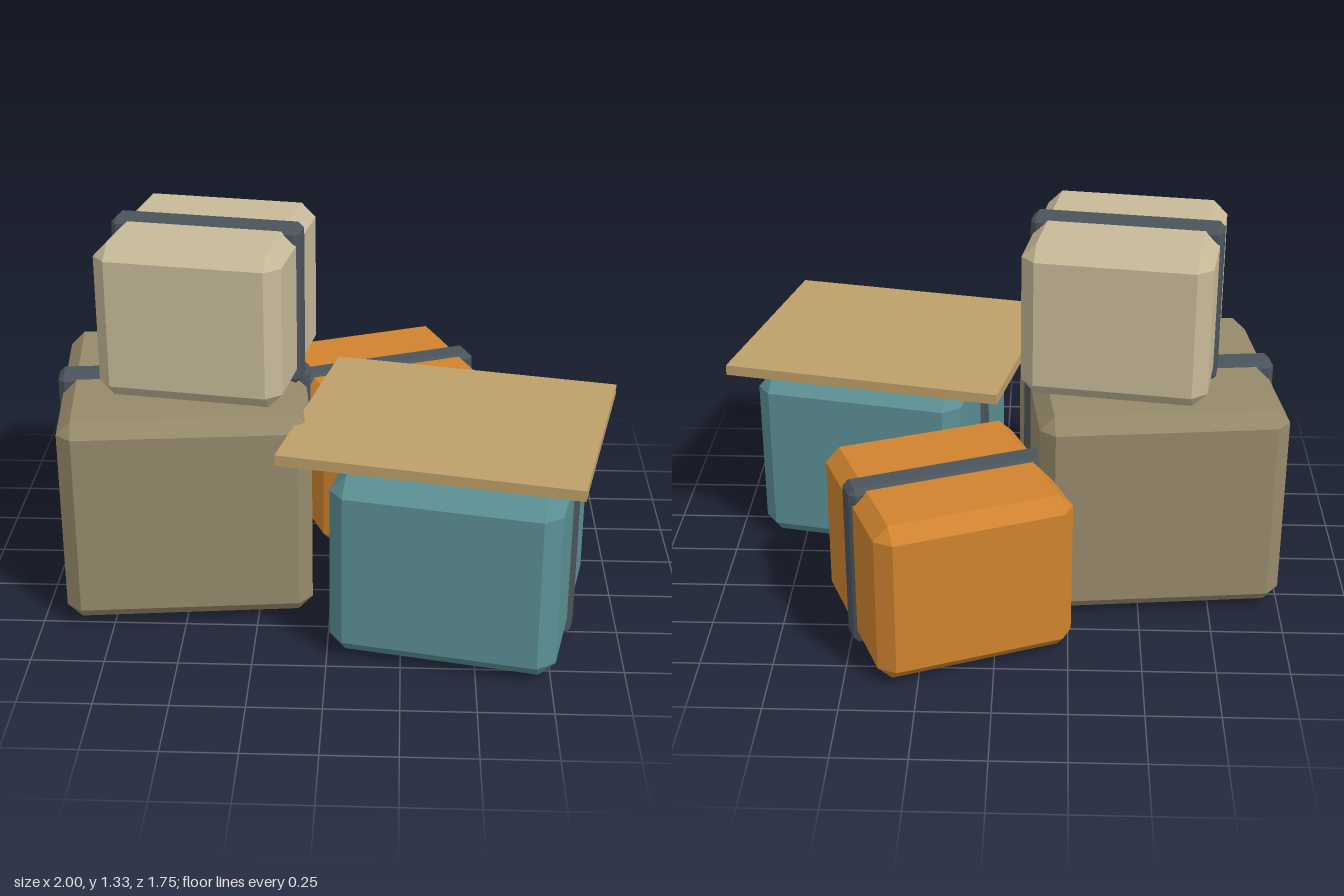
import * as THREE from 'three';
import { ConvexGeometry } from 'three/addons/geometries/ConvexGeometry.js';

function material(name, color) {
  const m = new THREE.MeshStandardMaterial({ color });
  m.name = name;
  return m;
}

// Box with every edge and corner cut flat by c, centred on the origin
function chamferBox(w, h, d, c) {
  const [x, y, z] = [w / 2, h / 2, d / 2];
  const points = [];
  for (const sx of [-1, 1]) for (const sy of [-1, 1]) for (const sz of [-1, 1]) {
    points.push(
      new THREE.Vector3(sx * x, sy * (y - c), sz * (z - c)),
      new THREE.Vector3(sx * (x - c), sy * y, sz * (z - c)),
      new THREE.Vector3(sx * (x - c), sy * (y - c), sz * z)
    );
  }
  return new ConvexGeometry(points);
}

function addMesh(parent, name, geometry, mat) {
  const mesh = new THREE.Mesh(geometry, mat);
  mesh.name = name;
  parent.add(mesh);
  return mesh;
}

export function createModel() {
  const model = new THREE.Group();
  model.name = 'strappedCrates';
  const strapMat = material('dark slate strap', 0x4a545b);

  // Crates: footprint centre, turn, size, bottom and top, and how far the strap stands out
  const crates = [
    { name: 'largeCrate', mat: material('olive', 0x978a6b), x: -0.53, z: 0.052, turn: 0.105,
      w: 0.86, d: 0.89, y0: 0.015, y1: 0.77, c: 0.05, out: 0.015 },
    { name: 'upperCrate', mat: material('cream', 0xc7ba98), x: -0.437, z: 0.032, turn: -0.16,
      w: 0.646, d: 0.646, y0: 0.77, y1: 1.322, c: 0.05, out: 0.011 },
    { name: 'rearCrate', mat: material('orange', 0xd0842f), x: 0.17, z: -0.452, turn: 0.383,
      w: 0.692, d: 0.68, y0: 0.013, y1: 0.598, c: 0.05, out: 0.01 },
    { name: 'frontCrate', mat: material('teal', 0x5b9095), x: 0.455, z: 0.4, turn: -0.21,
      w: 0.772, d: 0.774, y0: 0.013, y1: 0.667, c: 0.055, out: 0.012 },
  ];
  for (const k of crates) {
    const crate = new THREE.Group();
    crate.name = k.name;
    crate.position.set(k.x, (k.y0 + k.y1) / 2, k.z);
    crate.rotation.y = k.turn;
    const h = k.y1 - k.y0;
    addMesh(crate, 'crateBody', chamferBox(k.w, h, k.d, k.c), k.mat);
    // Strap looping over the middle of the crate
    addMesh(crate, 'strap', chamferBox(k.w + 2 * k.out, h + 2 * k.out, 0.11, 0.02), strapMat);
    model.add(crate);
  }

  // Flat board lying above the front crate
  const board = addMesh(model, 'board', new THREE.BoxGeometry(1.013, 0.037, 0.844), material('tan board', 0xbd9f69));
  board.position.set(0.415, 0.725, 0.355);
  board.rotation.y = -0.214;

  return model;
}
